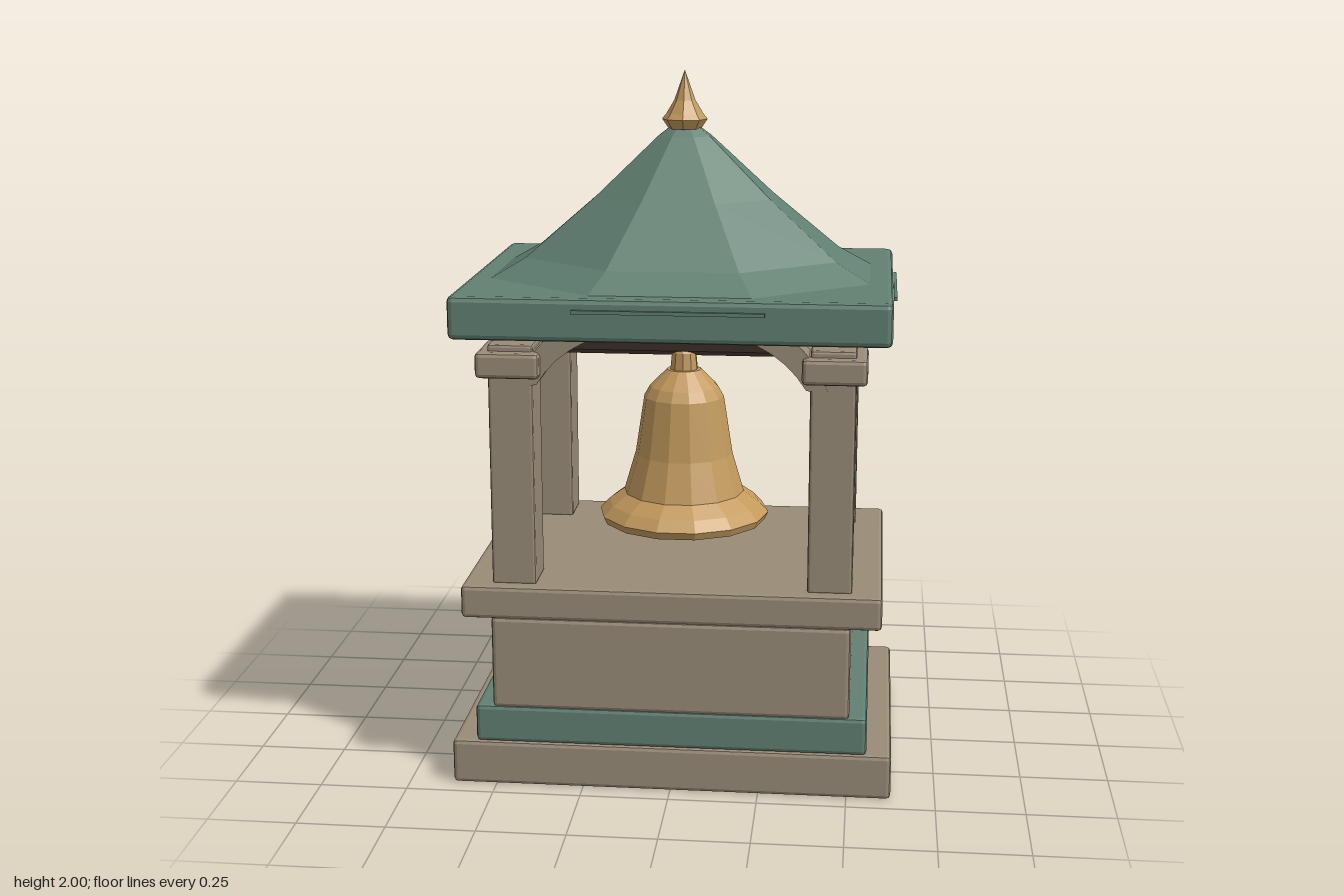
import * as THREE from 'three';
import { RoundedBoxGeometry } from 'three/addons/geometries/RoundedBoxGeometry.js';

const mat = (name, color) => {
  const m = new THREE.MeshStandardMaterial({ color });
  m.name = name;
  return m;
};

// Faceted normals for the low-poly look
function faceted(geometry) {
  const g = geometry.index ? geometry.toNonIndexed() : geometry;
  g.computeVertexNormals();
  return g;
}

export function createModel() {
  const model = new THREE.Group();
  model.name = 'bellPavilion';
  const stone = mat('stone', 0x998b77);
  const green = mat('roofGreen', 0x618072);
  const bronze = mat('bronze', 0xc39a5d);
  const wood = mat('darkWood', 0x4c3d37);

  function add(name, geometry, material, x = 0, y = 0, z = 0) {
    const mesh = new THREE.Mesh(faceted(geometry), material);
    mesh.name = name;
    mesh.position.set(x, y, z);
    model.add(mesh);
    return mesh;
  }
  // Chamfered block given by its bottom and top heights
  function block(name, material, w, d, y0, y1, x = 0, z = 0, bevel = 0.012) {
    return add(name, new RoundedBoxGeometry(w, y1 - y0, d, 1, bevel), material, x, (y0 + y1) / 2, z);
  }
  const lathe = (points, sides, start = 0) =>
    new THREE.LatheGeometry(points.map(([r, y]) => new THREE.Vector2(r, y)), sides, start);

  // Stepped base
  block('baseSlab', stone, 1.25, 0.89, 0, 0.13);
  block('greenBand', green, 1.11, 0.89, 0.13, 0.24);
  block('pedestal', stone, 1.01, 0.89, 0.235, 0.505);
  block('floorSlab', stone, 1.18, 0.89, 0.5, 0.595);

  // Curved brace, drawn for the +x side
  const braceShape = new THREE.Shape();
  braceShape.moveTo(0.37, 1.17);
  braceShape.lineTo(0.43, 1.165);
  braceShape.quadraticCurveTo(0.4, 1.25, 0.33, 1.31);
  braceShape.lineTo(0.19, 1.31);
  braceShape.quadraticCurveTo(0.31, 1.27, 0.37, 1.17);

  // Four posts with capitals and braces
  for (const sx of [-1, 1]) {
    for (const sz of [-1, 1]) {
      const x = sx * 0.443, z = sz * 0.337;
      block('post', stone, 0.125, 0.135, 0.59, 1.28, x, z, 0.008);
      block('capital', stone, 0.178, 0.2, 1.19, 1.262, sx * 0.447, z, 0.012);
      const brace = new THREE.ExtrudeGeometry(braceShape, { depth: 0.106, bevelEnabled: false, curveSegments: 5 });
      brace.translate(0, 0, -0.053);
      if (sx < 0) brace.rotateY(Math.PI);
      add('brace', brace, stone, 0, 0, sz * 0.354);
    }
  }

  // Crossbeam
  const beam = new THREE.CylinderGeometry(0.05, 0.05, 1, 9);
  beam.rotateZ(Math.PI / 2);
  add('crossbeam', beam, wood, 0, 1.23, 0.015);

  // Bell
  const bell = lathe([[0, 0.69], [0.24, 0.69], [0.25, 0.712], [0.222, 0.742], [0.177, 0.775], [0.143, 0.89],
    [0.117, 1.06], [0.1, 1.09], [0.05, 1.14], [0, 1.142]], 14, Math.PI / 2);
  add('bell', bell, bronze, 0, 0, 0.022);
  add('bellCrown', lathe([[0.042, 1.13], [0.036, 1.19], [0.02, 1.218], [0, 1.225]], 10), bronze, 0, 0, 0.022);

  // Eaves slab with thin trim strips
  block('eaves', green, 1.2, 0.96, 1.305, 1.425, 0, 0, 0.015);
  for (const s of [-1, 1]) {
    add('frontTrim', new THREE.BoxGeometry(0.52, 0.01, 0.009), green, 0, 1.39, s * 0.484);
    add('sideTrim', new THREE.BoxGeometry(0.009, 0.01, 0.42), green, s * 0.607, 1.39, 0);
  }

  // Flared eight-sided roof, narrower in depth
  const k = 1 / Math.cos(Math.PI / 8);
  const roof = lathe([[0.54, 1.422], [0.44, 1.48], [0.25, 1.645], [0.074, 1.815], [0.035, 1.845], [0, 1.845]]
    .map(([r, y]) => [r * k, y]), 8, Math.PI / 8);
  roof.scale(1, 1, 0.8);
  add('roof', roof, green);

  // Finial
  add('finial', lathe([[0, 1.835], [0.047, 1.835], [0.065, 1.862], [0.053, 1.877], [0.03, 1.915], [0, 2]], 8), bronze);

  return model;
}
